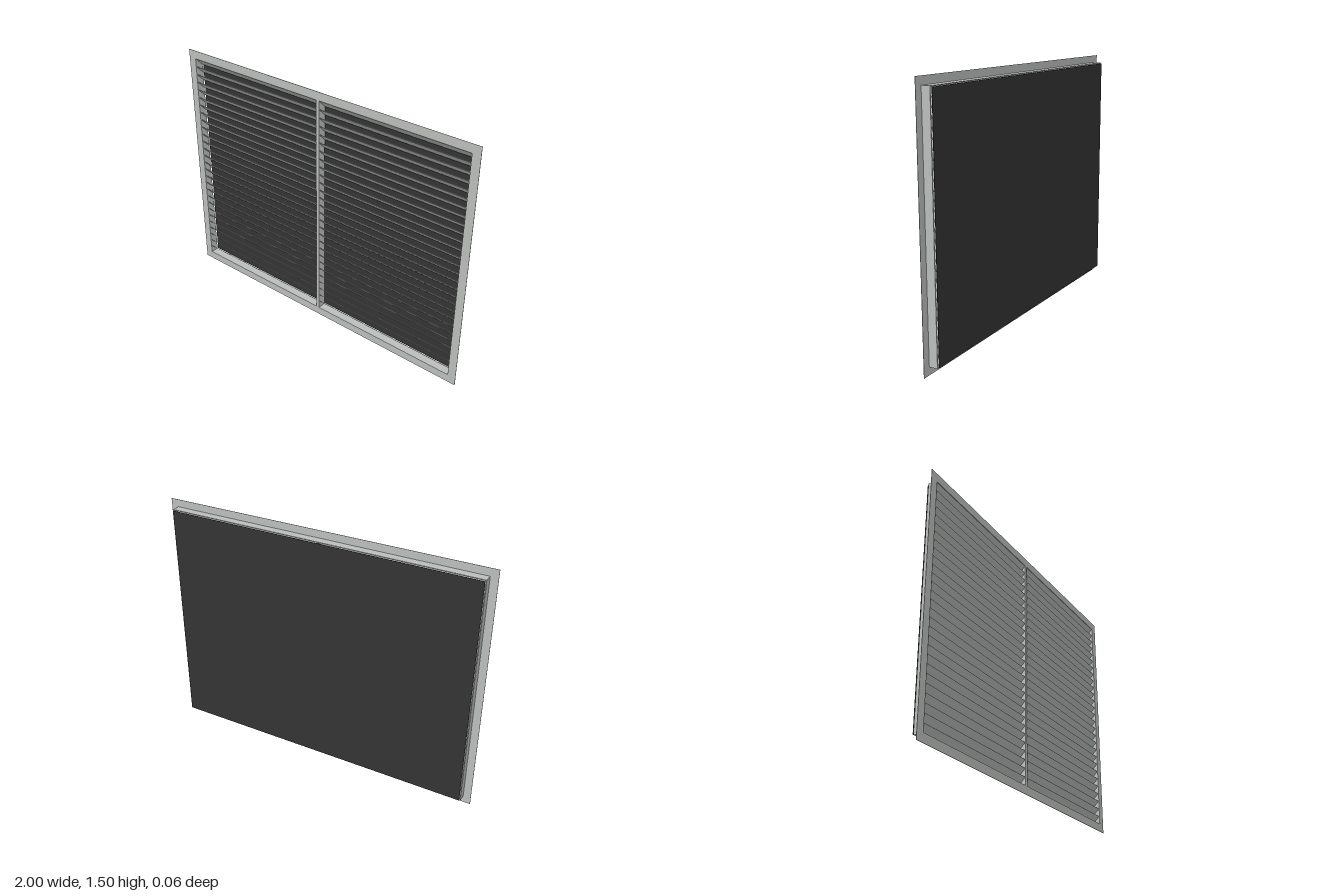
import * as THREE from 'three';

const W = 2, H = 1.5;           // outer flange
const IW = 1.9, IH = 1.4;       // opening
const FRONT = 0.03, BACK = -0.022;
const ROWS = 28;

const metal = new THREE.MeshStandardMaterial({ color: 0xbabdbb });
metal.name = 'lightGreyMetal';
const dark = new THREE.MeshStandardMaterial({ color: 0x333333 });
dark.name = 'darkMesh';

// Rectangle path centred on the origin
function rect(Type, w, h) {
  return new Type([
    [-w / 2, -h / 2], [w / 2, -h / 2], [w / 2, h / 2], [-w / 2, h / 2],
  ].map(([x, y]) => new THREE.Vector2(x, y)));
}

// Rectangular ring extruded from z0 to z1
function ring(name, w, h, holeW, holeH, z0, z1) {
  const shape = rect(THREE.Shape, w, h);
  shape.holes.push(rect(THREE.Path, holeW, holeH));
  const geo = new THREE.ExtrudeGeometry(shape, { depth: z1 - z0, bevelEnabled: false });
  const mesh = new THREE.Mesh(geo, metal);
  mesh.name = name;
  mesh.position.set(0, H / 2, z0);
  return mesh;
}

function box(name, w, h, d, x, y, z, material) {
  const mesh = new THREE.Mesh(new THREE.BoxGeometry(w, h, d), material);
  mesh.name = name;
  mesh.position.set(x, y, z);
  return mesh;
}

export function createModel() {
  const grille = new THREE.Group();
  grille.name = 'ventilationGrille';

  // Thin front flange and the shallow sleeve behind it
  grille.add(ring('flange', W, H, IW, IH, FRONT - 0.002, FRONT));
  grille.add(ring('sleeve', IW + 0.01, IH + 0.01, IW, IH, BACK, FRONT - 0.002));

  // Upright bar dividing the two louvre banks
  grille.add(box('centreBar', 0.02, IH, FRONT - 0.001 - BACK, 0, H / 2, (FRONT - 0.001 + BACK) / 2, metal));

  // Louvres: front edge high, back edge low
  const pitch = IH / ROWS;
  const slatW = IW / 2 - 0.01;
  for (const side of [-1, 1]) {
    const bank = new THREE.Group();
    bank.name = side > 0 ? 'leftLouvres' : 'rightLouvres';
    for (let i = 0; i < ROWS; i++) {
      const y = (H - IH) / 2 + pitch * (i + 0.5);
      const slat = box('slat', slatW, 0.003, 0.067, side * (0.01 + slatW / 2), y, 0.003, metal);
      slat.rotation.x = -Math.PI / 4;
      bank.add(slat);
    }
    grille.add(bank);
  }

  // Dark backing sheet set just behind the sleeve
  grille.add(box('backingSheet', IW, IH, 0.002, 0, H / 2, -0.029, dark));

  return grille;
}
